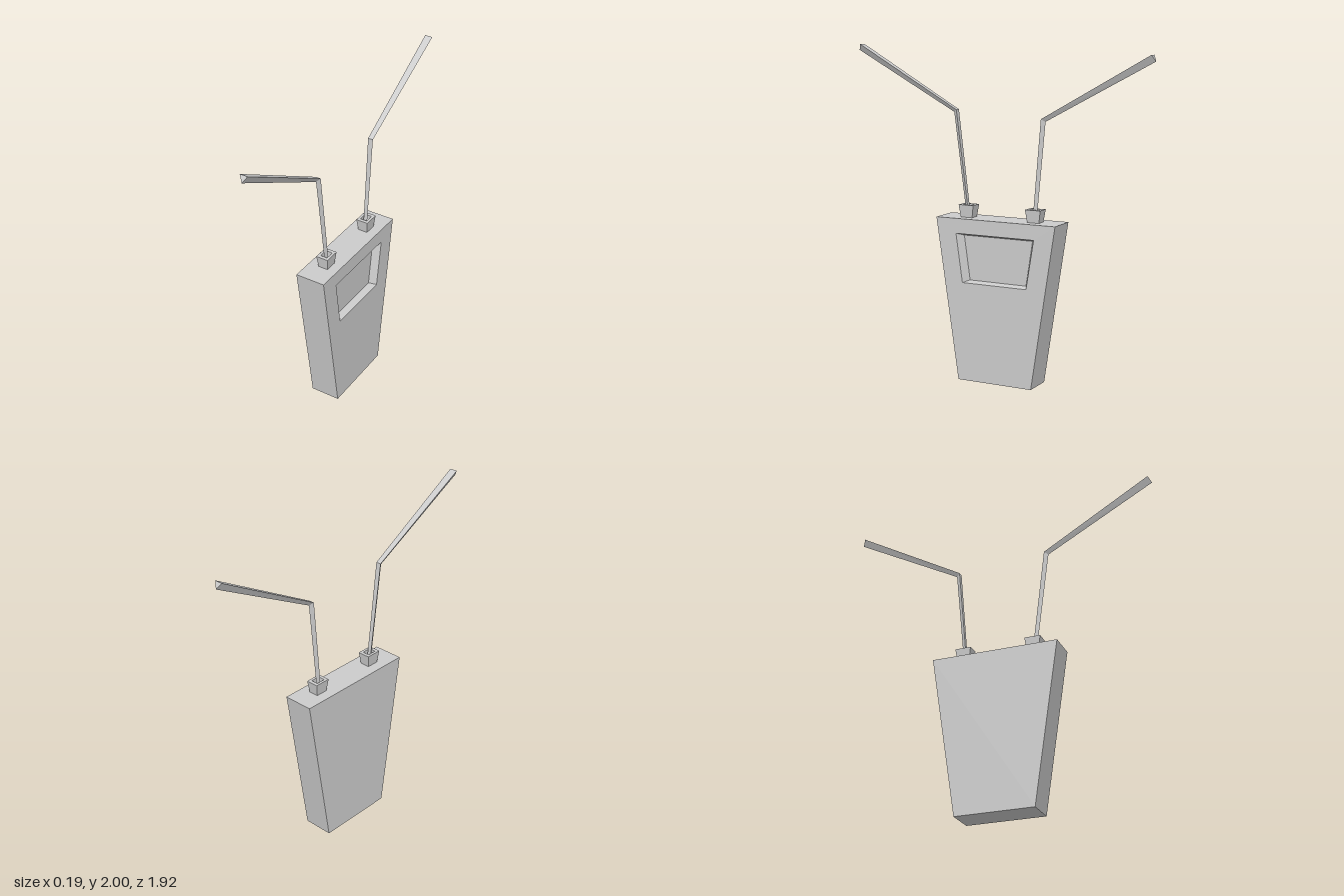
import * as THREE from 'three';

const material = new THREE.MeshStandardMaterial({ color: 0xcccccc, flatShading: true });

// Joins a chain of matching loops with flat faces and caps both ends.
// Loops run counterclockwise when looked at from the far end of the chain.
function skin(name, loops) {
  const pos = [];
  const tri = (...pts) => pts.forEach((p) => pos.push(...p));
  const n = loops[0].length;
  for (let k = 0; k + 1 < loops.length; k++) {
    const a = loops[k], b = loops[k + 1];
    for (let i = 0; i < n; i++) {
      const j = (i + 1) % n;
      tri(a[i], a[j], b[j]);
      tri(a[i], b[j], b[i]);
    }
  }
  const first = loops[0], last = loops[loops.length - 1];
  for (let i = 1; i + 1 < n; i++) {
    tri(first[0], first[i + 1], first[i]);
    tri(last[0], last[i], last[i + 1]);
  }
  const geometry = new THREE.BufferGeometry();
  geometry.setAttribute('position', new THREE.Float32BufferAttribute(pos, 3));
  geometry.computeVertexNormals();
  const mesh = new THREE.Mesh(geometry, material);
  mesh.name = name;
  return mesh;
}

// Trapezoid in the plane x: bottom and top heights, each with its z range
const trapezoid = (x, y0, front0, back0, y1, front1, back1) =>
  [[x, y0, front0], [x, y0, back0], [x, y1, back1], [x, y1, front1]];

// Level rectangle around z with half sizes hx and hz
const rectangle = (y, z, hx, hz) =>
  [[-hx, y, z + hz], [hx, y, z + hz], [hx, y, z - hz], [-hx, y, z - hz]];

// Three-sided rod cross-section: flat edge on the inner side, ridge outside.
// The angle is the rod's lean from vertical, s is the side it leans to.
function rodSection(s, z, y, halfWidth, angle) {
  const h = halfWidth * 0.85;
  const nz = -s * Math.cos(angle) * h, ny = Math.sin(angle) * h;
  return [
    [s * halfWidth, y + ny, z + nz],
    [-s * halfWidth, y + ny, z + nz],
    [0, y - ny, z - nz],
  ];
}

export function createModel() {
  const group = new THREE.Group();

  // Tapered case with a sunken window on one side
  group.add(skin('body', [
    trapezoid(-0.095, 0, 0.23, -0.255, 0.985, 0.375, -0.405),
    trapezoid(0.09, 0, 0.23, -0.255, 0.985, 0.375, -0.405),
    trapezoid(0.09, 0.6, 0.2, -0.222, 0.895, 0.242, -0.27),
    trapezoid(0.045, 0.61, 0.172, -0.2, 0.88, 0.21, -0.242),
  ]));

  const antennas = [
    { side: 'front', s: 1, socketZ: 0.203, base: [0.209, 1.0], bend: [0.288, 1.615], tip: [0.952, 1.98] },
    { side: 'back', s: -1, socketZ: -0.237, base: [-0.236, 1.0], bend: [-0.288, 1.58], tip: [-0.952, 1.945] },
  ];
  for (const { side, s, socketZ, base, bend, tip } of antennas) {
    // Flared socket with an open top
    group.add(skin(side + 'Socket', [
      rectangle(0.98, socketZ, 0.03, 0.037),
      rectangle(1.06, socketZ, 0.038, 0.049),
      rectangle(1.06, socketZ, 0.022, 0.028),
      rectangle(1.0, socketZ, 0.02, 0.024),
    ]));
    // Bent rod, thickening toward its tip
    const lean = (a, b) => Math.atan2(s * (b[0] - a[0]), b[1] - a[1]);
    const lower = lean(base, bend), upper = lean(bend, tip);
    group.add(skin(side + 'Antenna', [
      rodSection(s, ...base, 0.012, lower),
      rodSection(s, ...bend, 0.016, (lower + upper) / 2),
      rodSection(s, ...tip, 0.024, upper),
    ]));
  }
  return group;
}
